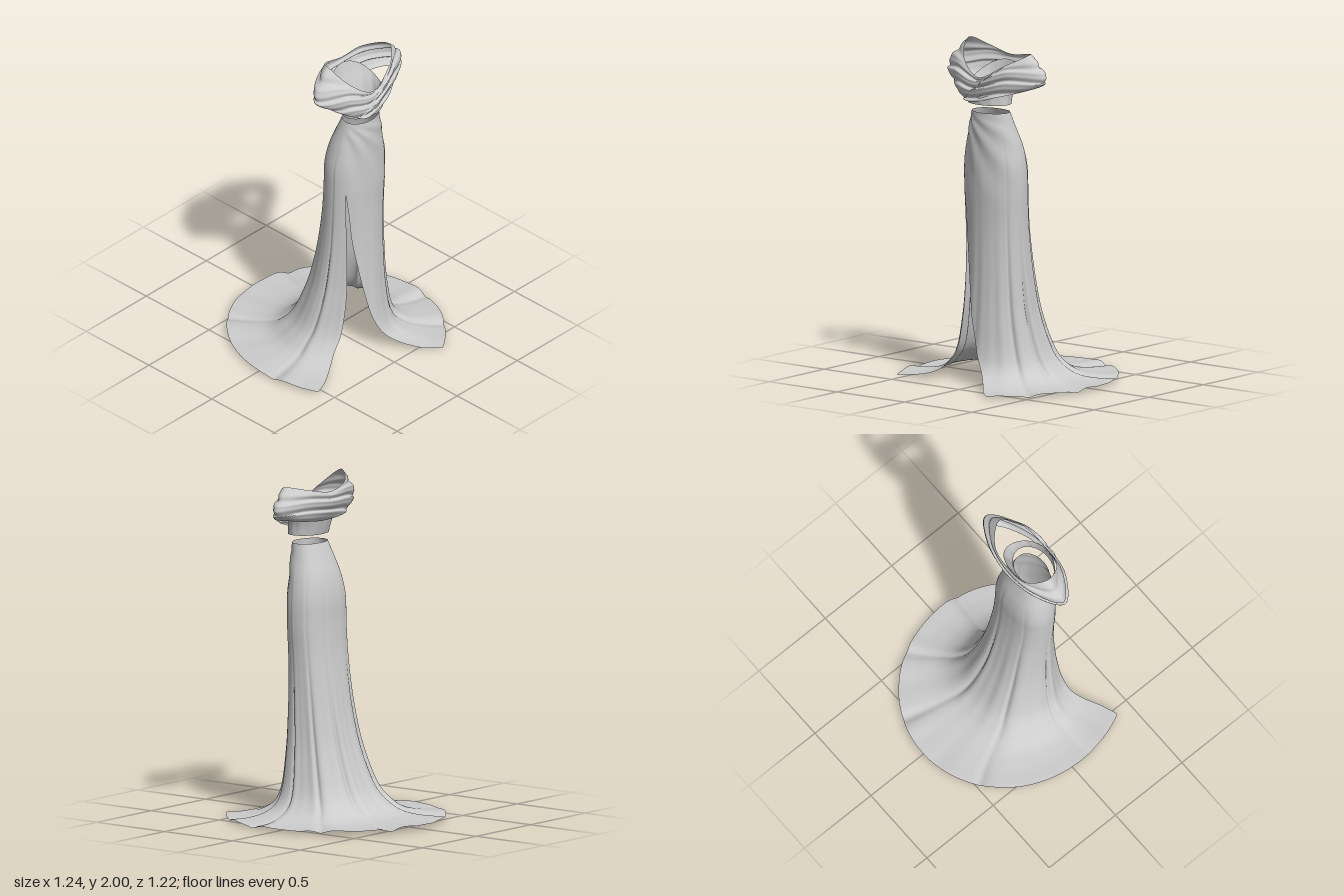
import * as THREE from 'three';
import { mergeVertices } from 'three/addons/utils/BufferGeometryUtils.js';

const { smoothstep, lerp, degToRad } = THREE.MathUtils;
const material = new THREE.MeshStandardMaterial({ color: 0xcccccc, side: THREE.DoubleSide });

// Cloth sheet: u runs round the body from the front towards +x, v runs downwards.
function sheet(name, nu, nv, point) {
  const pos = [], index = [], w = nu + 1;
  for (let j = 0; j <= nv; j++)
    for (let i = 0; i <= nu; i++) pos.push(...point(i / nu, j / nv));
  for (let j = 0; j < nv; j++)
    for (let i = 0; i < nu; i++) {
      const a = j * w + i, b = a + 1, c = a + w, d = c + 1;
      index.push(a, c, b, b, c, d);
    }
  let geo = new THREE.BufferGeometry();
  geo.setAttribute('position', new THREE.Float32BufferAttribute(pos, 3));
  geo.setIndex(index);
  geo = mergeVertices(geo, 1e-5); // closes the seam
  geo.computeVertexNormals();
  const mesh = new THREE.Mesh(geo, material);
  mesh.name = name;
  return mesh;
}

// Smooth interpolation through the rows of a table, t from 0 to 1.
function rowSampler(rows) {
  const n = rows[0].length;
  const interp = new THREE.CubicInterpolant(rows.map((_, i) => i), rows.flat(), n, new Float32Array(n));
  return t => Array.from(interp.evaluate(t * (rows.length - 1)));
}

// Skirt sections: y, right x, left x, back z, front z, slit edge angles (left panel, right panel)
const skirtRows = rowSampler([
  [1.60, -0.11, 0.13, 0.14, 0.31, -53, -53],
  [1.50, -0.14, 0.155, 0.10, 0.315, -53, -53],
  [1.40, -0.168, 0.185, 0.065, 0.315, -53, -53],
  [1.28, -0.19, 0.207, 0.045, 0.315, -53, -53],
  [1.13, -0.192, 0.212, 0.04, 0.315, -53, -53],
  [0.97, -0.19, 0.208, 0.028, 0.31, -46, -52],
  [0.80, -0.19, 0.21, 0.005, 0.31, -40, -50],
  [0.60, -0.20, 0.22, -0.03, 0.315, -28, -47],
  [0.40, -0.225, 0.24, -0.08, 0.325, -15, -45],
  [0.20, -0.275, 0.285, -0.16, 0.345, 0, -46],
  [0.10, -0.34, 0.34, -0.24, 0.385, 11, -50],
  [0.045, -0.41, 0.42, -0.34, 0.47, 18, -54],
  [0.02, -0.51, 0.52, -0.48, 0.59, 23, -57],
  [0.013, -0.62, 0.62, -0.61, 0.71, 28, -60],
]);

// Long pleats at fixed angles: a sharp dent beside a soft ridge
const pleats = [50, 79, 120, 158, 215, 276];
function pleatHeight(deg) {
  let h = 0.15 * Math.sin(degToRad(deg * 13)) + 0.1 * Math.sin(degToRad(deg * 22) + 1);
  for (const p of pleats) {
    const d = ((deg - p + 540) % 360) - 180;
    h += 0.6 * Math.exp(-(((d - 8) / 6) ** 2)) - Math.exp(-((d / 3) ** 2));
  }
  return h;
}

function skirtPoint(u, v) {
  const [y, xr, xl, zb, zf, leftEdge, rightEdge] = skirtRows(v);
  const closed = y > 1.125;
  const deg = lerp(closed ? -53 : leftEdge, (closed ? -53 : rightEdge) + 360, u);
  const s = Math.sin(degToRad(deg)), c = Math.cos(degToRad(deg));
  const floor = smoothstep(v, 0.78, 1);
  // Back of the body is a little boxy; the front of the train reaches further on the right
  const box = c < 0 ? 1 + 0.06 * (1 - floor) * (2 * s * c) ** 2 : 1;
  const k = c > 0 ? 1 - 0.09 * s * floor : 1;
  const x = (xl + xr) / 2 + s * box * (xl - xr) / 2;
  const z = (zf + zb) / 2 + c * k * box * (zf - zb) / 2;
  const h = pleatHeight(deg);
  let out = h * (0.002 * smoothstep(1.6 - y, 0.05, 0.4) + 0.011 * smoothstep(1.1 - y, 0, 0.9)) * (1 - 0.8 * floor);
  // Swags fanning from the right of the waist across the front
  const fan = Math.atan2(1.64 - y, x + 0.16);
  out += 0.003 * Math.sin(17 * fan) * smoothstep(c, 0, 0.6) * smoothstep(y, 1.0, 1.35) * smoothstep(1.6 - y, 0, 0.08);
  const lift = floor * (0.012 * h + 0.008 * (1 - c));
  return [x + out * s, Math.max(0.004, y + lift), z + out * c];
}

// Bodice sections: y, right x, left x, back z, front z
const bodiceRows = rowSampler([
  [1.65, -0.13, 0.148, 0.13, 0.335],
  [1.70, -0.133, 0.15, 0.115, 0.337],
  [1.75, -0.145, 0.16, 0.1, 0.337],
  [1.81, -0.162, 0.178, 0.082, 0.325],
  [1.88, -0.175, 0.195, 0.066, 0.315],
]);

// The upper edge is high at the back, lower at the front and cut down under the arms
function bodicePoint(u, v) {
  const a = u * Math.PI * 2, s = Math.sin(a), c = Math.cos(a);
  const top = 0.57 - 0.27 * c + 0.16 * c * c;
  const [y, xr, xl, zb, zf] = bodiceRows((1 - v) * top);
  const r = 1 + 0.012 * Math.sin(14 * a) * v * (1 - v) * 4;
  return [(xl + xr) / 2 + r * s * (xl - xr) / 2, y, (zf + zb) / 2 + r * c * (zf - zb) / 2];
}

// Closed loop of the shawl, eight points from the front round by +x
const loop = pts => new THREE.CatmullRomCurve3(pts.map(p => new THREE.Vector3(...p)), true);
const shawlLoops = [
  // neckline
  loop([[0, 1.81, 0.325], [0.16, 1.885, 0.295], [0.27, 1.95, 0.2], [0.17, 1.93, 0.08],
    [0.02, 1.91, 0.055], [-0.12, 1.95, 0.07], [-0.2, 2.0, 0.16], [-0.14, 1.9, 0.28]]),
  // widest part
  loop([[-0.03, 1.745, 0.342], [0.2, 1.81, 0.3], [0.375, 1.825, 0.18], [0.24, 1.84, 0.085],
    [0.02, 1.835, 0.046], [-0.19, 1.86, 0.08], [-0.322, 1.85, 0.18], [-0.2, 1.82, 0.295]]),
  // lower edge
  loop([[-0.06, 1.66, 0.335], [0.14, 1.705, 0.315], [0.325, 1.765, 0.19], [0.22, 1.755, 0.1],
    [0.02, 1.74, 0.088], [-0.16, 1.755, 0.1], [-0.27, 1.78, 0.19], [-0.16, 1.7, 0.3]]),
];

function shawlPoint(u, v) {
  const [a, b, c] = shawlLoops.map(l => l.getPoint(u % 1));
  // Curve passing through all three loops
  const p = a.multiplyScalar((1 - v) * (1 - 2 * v))
    .addScaledVector(b, 4 * v * (1 - v))
    .addScaledVector(c, v * (2 * v - 1));
  const ang = u * Math.PI * 2, sin = Math.sin(ang), cos = Math.cos(ang);
  // Soft folds that run round the shoulders and drift down at the front
  const phase = 2 * Math.PI * (2.6 * v + 0.5 * Math.sin(ang + 0.5) + 0.3 * Math.cos(2 * ang));
  let fold = (0.007 * Math.sin(phase) + 0.003 * Math.sin(2 * phase + 1)) * smoothstep(v, 0, 0.2);
  // Crossing edge rising from the right of the waist to the neckline
  const cross = p.y - 1.66 - 0.8 * (p.x + 0.12);
  fold += 0.012 * smoothstep(-cross, -0.006, 0.006) * smoothstep(cross, -0.12, 0) * smoothstep(cos, 0.3, 0.8);
  return [p.x + fold * sin, p.y + fold * 0.4, p.z + fold * cos];
}

export function createModel() {
  const dress = new THREE.Group();
  dress.name = 'dress';
  dress.add(
    sheet('skirt', 288, 120, skirtPoint),
    sheet('bodice', 96, 16, bodicePoint),
    sheet('shawlCollar', 200, 72, shawlPoint),
  );
  return dress;
}
